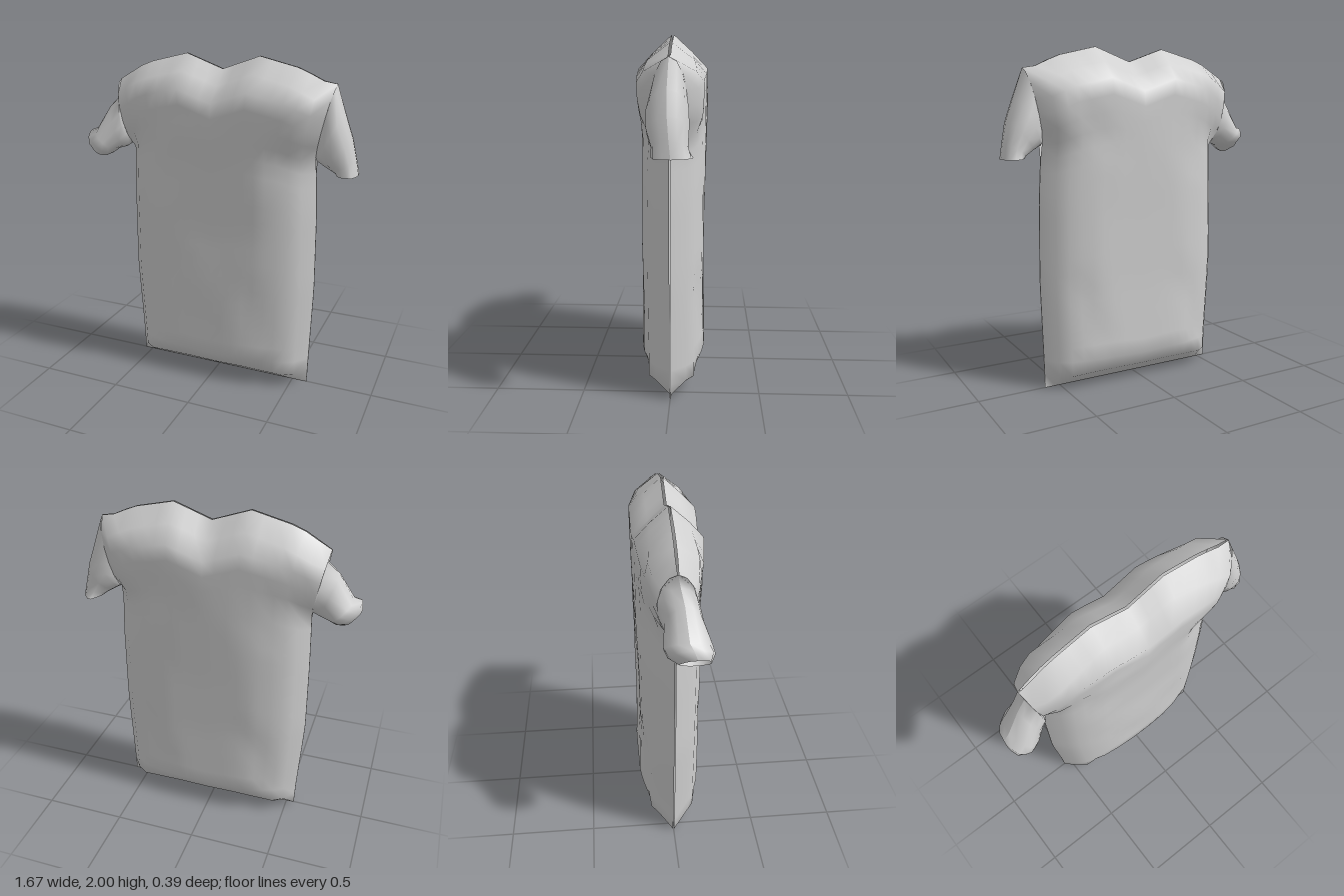
import * as THREE from 'three';

const fabric = new THREE.MeshStandardMaterial({ color: 0xd0d0d0, side: THREE.DoubleSide });
fabric.name = 'grey fabric';

// Piecewise linear lookup through [position, value] keys
function along(keys, t) {
  if (t <= keys[0][0]) return keys[0][1];
  for (let i = 1; i < keys.length; i++) {
    const [a, p] = keys[i - 1], [b, q] = keys[i];
    if (t <= b) return p + ((q - p) * (t - a)) / (b - a);
  }
  return keys[keys.length - 1][1];
}

// Grid surface from a point function; flip turns the faces around
function gridMesh(name, nu, nv, point, flip = false) {
  const pos = [], index = [];
  for (let j = 0; j <= nv; j++)
    for (let i = 0; i <= nu; i++) pos.push(...point(i / nu, j / nv));
  for (let j = 0; j < nv; j++)
    for (let i = 0; i < nu; i++) {
      const a = j * (nu + 1) + i, b = a + 1, c = a + nu + 1, d = c + 1;
      if (flip) index.push(a, d, b, a, c, d);
      else index.push(a, b, d, a, d, c);
    }
  const geo = new THREE.BufferGeometry();
  geo.setAttribute('position', new THREE.Float32BufferAttribute(pos, 3));
  geo.setIndex(index);
  geo.computeVertexNormals();
  const mesh = new THREE.Mesh(geo, fabric);
  mesh.name = name;
  return mesh;
}

// Outline: side seams by height fraction, shoulder and neck line by x
const rightSeam = [[0, -0.55], [0.1, -0.557], [0.35, -0.585], [0.6, -0.58], [0.787, -0.57], [1, -0.65]];
const leftSeam = [[0, 0.593], [0.1, 0.598], [0.35, 0.613], [0.6, 0.607], [0.77, 0.59], [1, 0.69]];
const topLine = [[-0.65, 1.83], [-0.47, 1.935], [-0.203, 2], [0.02, 1.92], [0.243, 2], [0.5, 1.94], [0.6, 1.885], [0.69, 1.87]];

// Panel depth by height fraction
const frontDepth = [[0, 0.004], [0.045, 0.13], [0.09, 0.192], [0.3, 0.19], [0.5, 0.172], [0.7, 0.175], [0.86, 0.198], [0.91, 0.192], [1, 0.006]];
const backDepth = [[0, 0.004], [0.045, 0.13], [0.09, 0.185], [0.3, 0.176], [0.5, 0.18], [0.7, 0.19], [0.86, 0.198], [0.91, 0.192], [1, 0.006]];

// Panel depth from the middle out to the side seam, and out to each armhole
const sideDepth = [[0, 0.195], [0.33, 0.187], [0.56, 0.17], [0.78, 0.13], [0.89, 0.085], [1, 0.003]];
const leftShoulder = [[0, 0.198], [0.6, 0.19], [0.82, 0.182], [0.92, 0.14], [1, 0.09]];
const rightShoulder = [[0, 0.198], [0.4, 0.185], [0.72, 0.165], [0.93, 0.12], [1, 0.1]];

// Folds: start x, y, end x, y, width, depth change
const frontFolds = [
  [-0.5, 1.78, -0.28, 1.3, 0.09, -0.012], [-0.35, 1.72, 0.05, 1.7, 0.08, -0.01],
  [0.58, 1.6, 0.4, 1.4, 0.08, -0.014], [-0.25, 0.75, -0.1, 0.4, 0.1, -0.008],
  [0.25, 0.6, 0.4, 0.2, 0.1, -0.008]
];
const backFolds = [
  [0.45, 1.7, 0.3, 1.5, 0.08, -0.01], [-0.5, 1.6, -0.35, 1.35, 0.08, -0.01],
  [0.4, 0.6, 0.3, 0.3, 0.09, -0.01], [-0.3, 0.55, -0.42, 0.2, 0.1, -0.01]
];

function foldDepth(folds, x, y) {
  let sum = 0;
  for (const [ax, ay, bx, by, w, d] of folds) {
    const dx = bx - ax, dy = by - ay;
    const t = THREE.MathUtils.clamp(((x - ax) * dx + (y - ay) * dy) / (dx * dx + dy * dy), 0, 1);
    const r = Math.hypot(x - ax - t * dx, y - ay - t * dy) / w;
    sum += d * Math.exp(-r * r);
  }
  return sum;
}

// How far the armhole is open at a height fraction, 0 to 1
function armhole(v, start) {
  const t = (2 * (v - start)) / (1 - start) - 1;
  return Math.sqrt(Math.max(0, 1 - t * t));
}

// Puffed body panel, open at the armholes; side is +1 for front, -1 for back
function bodyPanel(name, side, heightDepth, folds) {
  return gridMesh(name, 18, 22, (s, v) => {
    const u = 2 * s - 1, w = Math.abs(u);
    const x = THREE.MathUtils.lerp(along(rightSeam, v), along(leftSeam, v), s);
    const y = v * along(topLine, THREE.MathUtils.lerp(-0.65, 0.69, s));
    const shoulder = along(u < 0 ? rightShoulder : leftShoulder, w);
    const puff = THREE.MathUtils.lerp(along(sideDepth, w), shoulder, armhole(v, u < 0 ? 0.787 : 0.77));
    // the shoulders turn over more tightly than the neck
    const h = v < 0.7 ? v : 1 - (1 - v) * (1 + 0.6 * w * w);
    const depth = Math.min(along(heightDepth, h), puff);
    // the armhole edge keeps its shape so the sleeve meets it
    const z = w === 1 ? puff : depth + Math.min(1, depth / 0.15) * foldDepth(folds, x, y);
    return [x, y, side * z];
  }, side < 0);
}

// Sleeve rings: outer x, y, inner x, y, front z, back z
const leftRings = [
  [0.69, 1.87, 0.59, 1.44, 0.09, -0.09], [0.745, 1.71, 0.6, 1.435, 0.12, -0.105],
  [0.79, 1.58, 0.645, 1.41, 0.115, -0.105], [0.815, 1.46, 0.69, 1.385, 0.09, -0.1],
  [0.83, 1.37, 0.705, 1.375, 0.09, -0.12]
];
const rightRings = [
  [-0.65, 1.83, -0.57, 1.44, 0.1, -0.1], [-0.63, 1.75, -0.585, 1.44, 0.12, -0.09],
  [-0.7, 1.68, -0.61, 1.42, 0.13, -0.07], [-0.79, 1.53, -0.66, 1.405, 0.17, -0.08],
  [-0.835, 1.515, -0.7, 1.375, 0.18, -0.06], [-0.838, 1.46, -0.735, 1.36, 0.16, 0]
];

// Open sleeve lofted from the armhole through its rings, with a crumpled cuff
function sleeve(name, rings, flip) {
  const n = rings.length - 1;
  return gridMesh(name, 14, n, (u, v) => {
    const [ox, oy, ix, iy, zf, zb] = rings[Math.round(v * n)];
    const a = u * Math.PI * 2, k = Math.sin(a);
    const crumple = 1 + 0.12 * v * v * Math.cos(5 * a + 2 * v) * Math.abs(k);
    const t = (1 - Math.cos(a)) / 2;
    const z = (zf + zb) / 2 + ((zf - zb) / 2) * k * crumple;
    return [ox + (ix - ox) * t, oy + (iy - oy) * t, z];
  }, flip);
}

export function createModel() {
  const shirt = new THREE.Group();
  shirt.name = 'shirt';
  shirt.add(
    bodyPanel('frontPanel', 1, frontDepth, frontFolds),
    bodyPanel('backPanel', -1, backDepth, backFolds),
    sleeve('leftSleeve', leftRings, true),
    sleeve('rightSleeve', rightRings, false)
  );
  return shirt;
}
